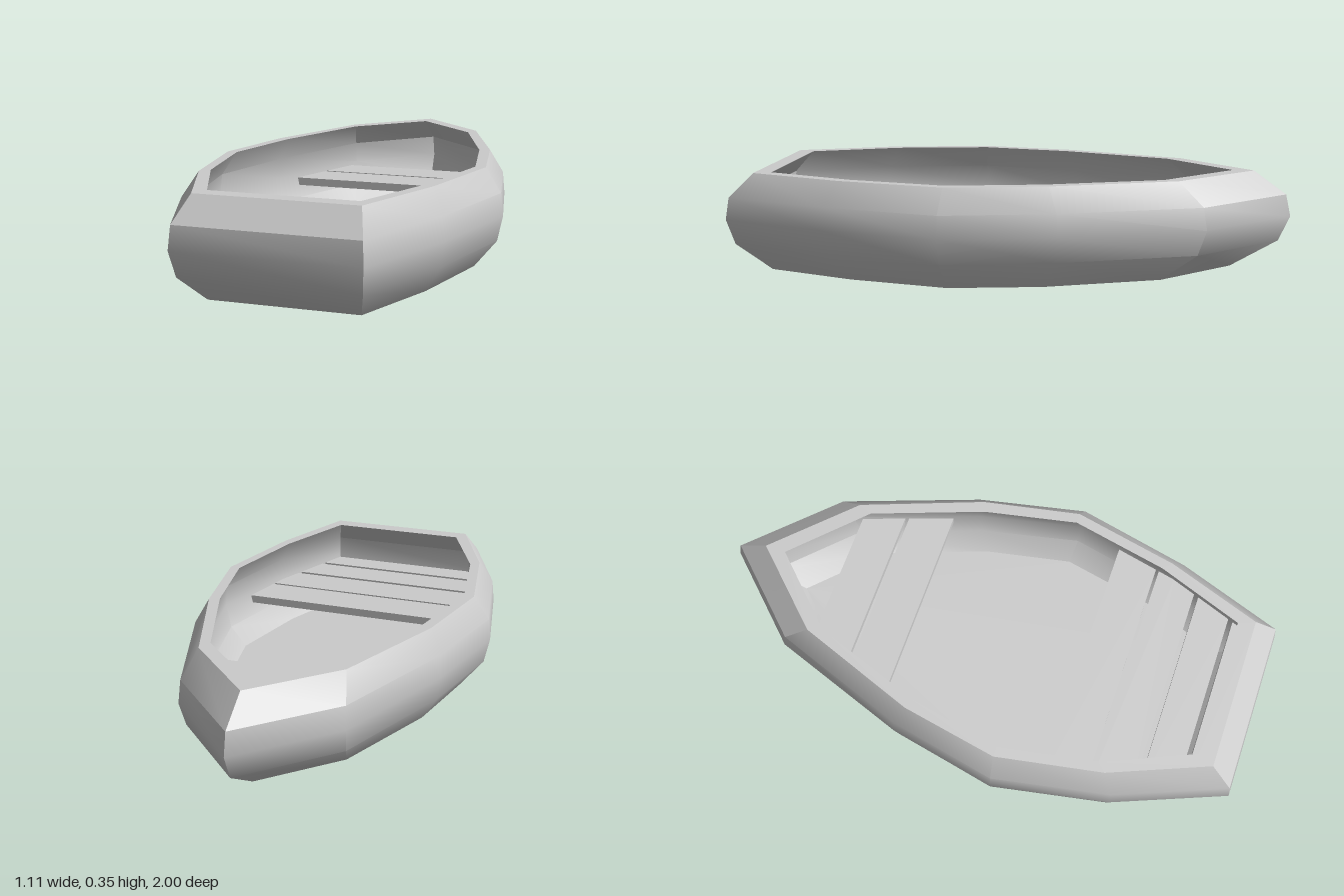
import * as THREE from 'three';
import { toCreasedNormals } from 'three/addons/utils/BufferGeometryUtils.js';

// Stations from bow to stern: z and half width at the widest level, sideways shift,
// inset (dz, dw) towards the gunwale, and wall thickness (dz, dw).
const STATIONS = [
  { z: -1.0, w: 0, shift: -0.015, inset: [0.135, 0], wall: [0.075, 0] },
  { z: -0.7, w: 0.293, shift: -0.008, inset: [0.1, -0.033], wall: [0.05, -0.02] },
  { z: -0.205, w: 0.47, shift: -0.005, inset: [0.035, -0.05], wall: [0.015, -0.037] },
  { z: 0.19, w: 0.553, shift: -0.002, inset: [-0.01, -0.066], wall: [0, -0.037] },
  { z: 0.61, w: 0.465, shift: -0.005, inset: [-0.05, -0.053], wall: [-0.03, -0.03] },
  { z: 1.0, w: 0.317, shift: 0.008, inset: [-0.095, -0.037], wall: [-0.06, -0.025] },
];

// Outline of the hull at one level: f is the amount of inset, t the amount of wall
function outline(f, t) {
  return STATIONS.map((s) => ({
    z: s.z + f * s.inset[0] + t * s.wall[0],
    w: s.w + f * s.inset[1] + t * s.wall[1],
    shift: s.shift,
  }));
}

// Closed ring: bow, down the left side, back up the right side
function ring(y, f, t) {
  const o = outline(f, t);
  const left = o.map((p) => [p.shift + p.w, y, p.z]);
  const right = o.slice(1).reverse().map((p) => [p.shift - p.w, y, p.z]);
  return [...left, ...right];
}

// Outer skin upwards, over the gunwale, inner skin down to the floor
function hullGeometry() {
  const rings = [
    ring(0, 1.56, 0), ring(0.1, 0.3, 0), ring(0.19, 0, 0), ring(0.27, 0.13, 0), ring(0.355, 1, 0),
    ring(0.355, 1, 1), ring(0.27, 0.13, 1), ring(0.19, 0, 1), ring(0.1, 0.3, 1), ring(0.03, 1.28, 1),
  ];
  const n = rings[0].length;
  const index = [];
  for (let r = 0; r < rings.length - 1; r++) {
    for (let i = 0; i < n; i++) {
      const j = (i + 1) % n;
      const a = r * n + i, b = r * n + j, c = b + n, d = a + n;
      index.push(a, d, c, a, c, b);
    }
  }
  // Bottom and floor
  const top = (rings.length - 1) * n;
  for (let i = 1; i < n - 1; i++) {
    index.push(0, i, i + 1);
    index.push(top, top + i + 1, top + i);
  }
  const geo = new THREE.BufferGeometry();
  geo.setAttribute('position', new THREE.Float32BufferAttribute(rings.flat(2), 3));
  geo.setIndex(index);
  return toCreasedNormals(geo, THREE.MathUtils.degToRad(34));
}

// Plank from z0 to z1 whose ends follow the inner wall
function plankGeometry(z0, z1) {
  const o = outline(0, 0.85);
  const at = (z) => {
    let k = 0;
    while (k < o.length - 2 && z > o[k + 1].z) k++;
    const u = (z - o[k].z) / (o[k + 1].z - o[k].z);
    return {
      z,
      w: THREE.MathUtils.lerp(o[k].w, o[k + 1].w, u),
      shift: THREE.MathUtils.lerp(o[k].shift, o[k + 1].shift, u),
    };
  };
  const pts = [at(z0), ...o.filter((p) => p.z > z0 && p.z < z1), at(z1)];
  const shape = new THREE.Shape([
    ...pts.map((p) => new THREE.Vector2(p.shift + p.w, -p.z)),
    ...pts.slice().reverse().map((p) => new THREE.Vector2(p.shift - p.w, -p.z)),
  ]);
  const geo = new THREE.ExtrudeGeometry(shape, { depth: 0.03, bevelEnabled: false });
  geo.rotateX(-Math.PI / 2);
  geo.translate(0, 0.148, 0);
  return geo;
}

export function createModel() {
  const material = new THREE.MeshStandardMaterial({ color: 0xcccccc });
  const boat = new THREE.Group();
  boat.name = 'rowingBoat';

  const hull = new THREE.Mesh(hullGeometry(), material);
  hull.name = 'hull';
  boat.add(hull);

  // Benches made of planks with narrow gaps
  const benches = {
    bowBench: [[-0.615, -0.462], [-0.448, -0.287]],
    sternBench: [[0.352, 0.508], [0.52, 0.672], [0.69, 0.82], [0.838, 0.945]],
  };
  for (const [name, planks] of Object.entries(benches)) {
    const bench = new THREE.Group();
    bench.name = name;
    planks.forEach(([z0, z1], i) => {
      const plank = new THREE.Mesh(plankGeometry(z0, z1), material);
      plank.name = `${name}Plank${i + 1}`;
      bench.add(plank);
    });
    boat.add(bench);
  }
  return boat;
}
